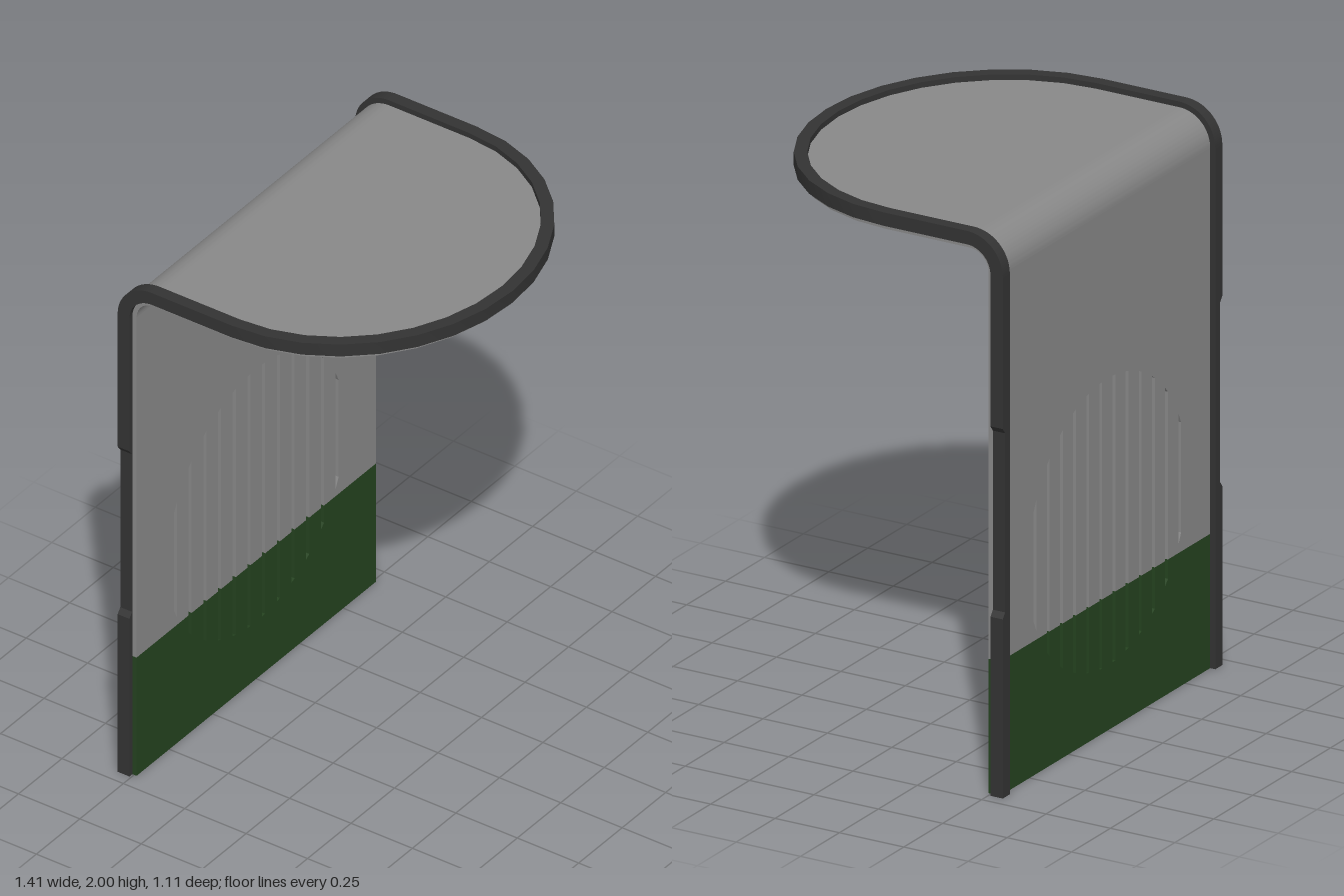
import * as THREE from 'three';
import { toCreasedNormals } from 'three/addons/utils/BufferGeometryUtils.js';

const material = (color) => new THREE.MeshStandardMaterial({ color });
const V = (x, y) => new THREE.Vector2(x, y);

// Key dimensions
const BAND = 0.48;                 // top of the green band
const BEND_Y = 1.86, BEND_Z = -0.415; // centre of the bend
const SHEET = { half: 0.688, outer: 0.12, inner: 0.075 };
const RIM = { in: 0.66, out: 0.705, outer: 0.14, inner: 0.092 };
const SLOT = { y: 0.745, r: 0.513, w: 0.009 };

function extrude(shape, depth) {
  return new THREE.ExtrudeGeometry(shape, { depth, bevelEnabled: false, curveSegments: 14 });
}

export function createModel() {
  const group = new THREE.Group();
  const grey = material(0x888888), dark = material(0x333333);
  const green = material(0x24421f), wood = material(0x8a6a35);

  function add(name, geometry, mat) {
    const mesh = new THREE.Mesh(toCreasedNormals(geometry, 0.4), mat);
    mesh.name = name;
    group.add(mesh);
    return mesh;
  }

  // Slots: vertical cuts whose ends follow a circle
  const slots = [];
  for (let i = 0; i < 12; i++) {
    const x = (i - 5.5) * 0.0845;
    const h = (px) => Math.sqrt(SLOT.r ** 2 - px ** 2);
    const l = x - SLOT.w, r = x + SLOT.w;
    slots.push({ l, r, hl: h(l), hr: h(r), crosses: SLOT.y - h(x) < BAND });
  }
  const openSlots = slots.filter((s) => s.crosses);

  // Edge of a wall piece at the band line, notched by the slots (sign: up or down)
  const notchedEdge = (sign) => [
    V(-SHEET.half, BAND),
    ...openSlots.flatMap((s) => [
      V(s.l, BAND), V(s.l, SLOT.y + sign * s.hl),
      V(s.r, SLOT.y + sign * s.hr), V(s.r, BAND),
    ]),
    V(SHEET.half, BAND),
  ];
  const wall = (name, sign, endY, mat) => {
    const shape = new THREE.Shape([...notchedEdge(sign), V(SHEET.half, endY), V(-SHEET.half, endY)]);
    if (sign > 0) {
      for (const s of slots.filter((q) => !q.crosses)) {
        shape.holes.push(new THREE.Path([
          V(s.l, SLOT.y - s.hl), V(s.r, SLOT.y - s.hr),
          V(s.r, SLOT.y + s.hr), V(s.l, SLOT.y + s.hl),
        ]));
      }
    }
    add(name, extrude(shape, SHEET.outer - SHEET.inner).translate(0, 0, BEND_Z - SHEET.outer), mat);
  };
  wall('backPanel', 1, BEND_Y, grey);
  wall('greenBand', -1, 0, green);

  // Quarter bend between wall and roof, from x0 to x1
  const bend = (name, { outer, inner }, x0, x1, mat) => {
    const shape = new THREE.Shape();
    shape.absarc(-BEND_Z, BEND_Y, outer, 0, Math.PI / 2, false);
    shape.absarc(-BEND_Z, BEND_Y, inner, Math.PI / 2, 0, true);
    add(name, extrude(shape, x1 - x0).rotateY(Math.PI / 2).translate(x0, 0, 0), mat);
  };
  bend('bentPanel', SHEET, -SHEET.half, SHEET.half, grey);

  // Roof outline: straight sides, then a half ellipse at the front
  const outline = (inset) => {
    const a = RIM.out - inset, b = 0.645 - inset;
    const points = [V(a, BEND_Z)];
    for (let i = 0; i <= 16; i++) {
      const t = (i / 16) * Math.PI;
      points.push(V(a * Math.cos(t), -0.09 + b * Math.sin(t)));
    }
    points.push(V(-a, BEND_Z));
    return points;
  };
  const roof = (name, points, { outer, inner }, mat) =>
    add(name, extrude(new THREE.Shape(points), outer - inner)
      .rotateX(Math.PI / 2).translate(0, BEND_Y + outer, 0), mat);
  roof('roofPanel', outline(RIM.out - SHEET.half), SHEET, grey);
  roof('roofRim', [...outline(0), ...outline(RIM.out - RIM.in).reverse()], RIM, dark);

  // Side rims: upright with a shallow recess, then the bend
  for (const side of [-1, 1]) {
    const profile = [
      [RIM.in, 0], [RIM.out, 0], [RIM.out, 0.64], [0.69, 0.66],
      [0.69, 1.3], [RIM.out, 1.32], [RIM.out, BEND_Y], [RIM.in, BEND_Y],
    ].map(([x, y]) => V(side * x, y));
    add('sideRim', extrude(new THREE.Shape(profile), RIM.outer - RIM.inner)
      .translate(0, 0, BEND_Z - RIM.outer), dark);
    const xs = [side * RIM.in, side * RIM.out].sort((p, q) => p - q);
    bend('rimBend', RIM, xs[0], xs[1], dark);
  }

  // Wooden slats under the roof, longest in the middle
  const count = 12, pitch = 0.0588;
  for (let i = 0; i < count; i++) {
    const x = (i - (count - 1) / 2) * pitch;
    const k = 1 - (x / 0.33) ** 2;
    const front = 0.36 + 0.07 * k, back = -0.04 - 0.16 * k;
    add('ceilingSlat', new THREE.BoxGeometry(0.05, 0.021, front - back)
      .translate(x, 1.928, (front + back) / 2), wood);
  }
  return group;
}
